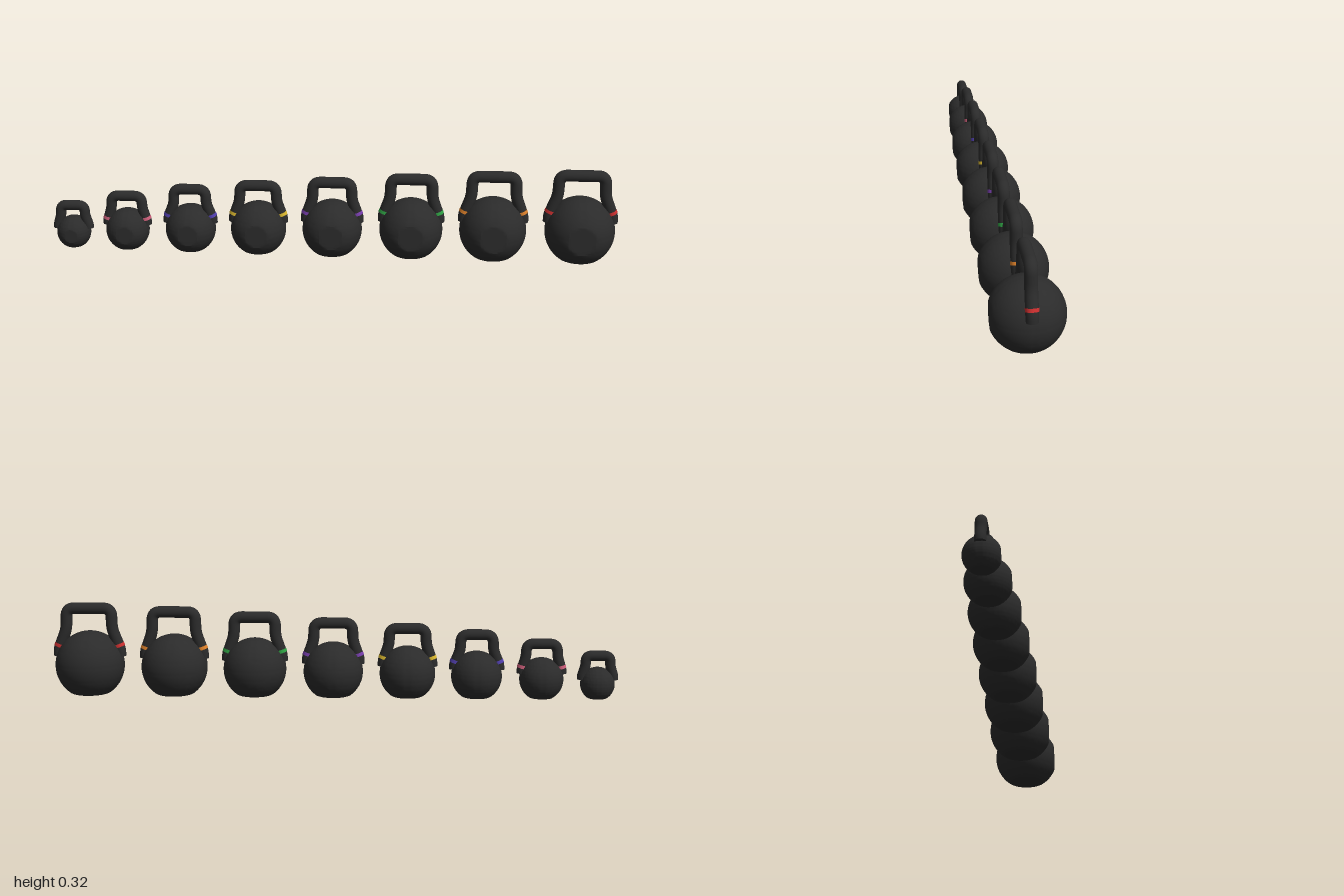
import * as THREE from 'three';
import { toCreasedNormals } from 'three/addons/utils/BufferGeometryUtils.js';

function material(name, color) {
  const m = new THREE.MeshStandardMaterial({ color });
  m.name = name;
  return m;
}

// Polyline with rounded corners
function roundedPath(points, radii) {
  const path = new THREE.CurvePath();
  let from = points[0];
  for (let i = 1; i < points.length - 1; i++) {
    const p = points[i];
    const toward = (q) => p.clone().add(q.clone().sub(p).setLength(radii[i - 1]));
    const a = toward(points[i - 1]);
    const b = toward(points[i + 1]);
    path.add(new THREE.LineCurve3(from, a));
    path.add(new THREE.QuadraticBezierCurve3(a, p, b));
    from = b;
  }
  path.add(new THREE.LineCurve3(from, points[points.length - 1]));
  return path;
}

// Ball with a flat base and a flat front face
function ballGeometry(r, cy) {
  const g = new THREE.SphereGeometry(r, 64, 44);
  g.translate(0, cy, 0.04 * r);
  const pos = g.attributes.position;
  for (let i = 0; i < pos.count; i++) {
    pos.setY(i, Math.max(pos.getY(i), 0));
    pos.setZ(i, Math.min(pos.getZ(i), 0.95 * r));
  }
  return toCreasedNormals(g, Math.PI / 10);
}

function kettlebell({ r, cy, top, grip, foot, tube }, iron, bandMaterial) {
  const group = new THREE.Group();
  const add = (name, geometry, mat) => {
    const mesh = new THREE.Mesh(geometry, mat);
    mesh.name = name;
    group.add(mesh);
    return mesh;
  };
  add('ball', ballGeometry(r, cy), iron);

  // Handle: straight grip, legs that flare out and end flush on the ball
  const z = 0.04 * r;
  const footY = cy + 0.27 * r;
  const gx = grip - tube;
  const fx = foot - tube;
  const right = [
    [gx, top - tube],
    [gx + 0.02 * r, footY + 0.78 * r],
    [fx, footY + 0.2 * r],
    [fx, footY],
  ];
  const points = [
    ...right.slice().reverse().map(([x, y]) => new THREE.Vector3(-x, y, z)),
    ...right.map(([x, y]) => new THREE.Vector3(x, y, z)),
  ];
  const corner = Math.min(0.028, gx * 0.5);
  const path = roundedPath(points, [0.12 * r, 0.18 * r, corner, corner, 0.18 * r, 0.12 * r]);
  add('handle', new THREE.TubeGeometry(path, 120, tube, 24), iron);

  // Find where the leg reaches the band height
  let u = 0;
  while (path.getPointAt(u).y < footY + 0.3 * r) u += 0.002;
  const half = 0.006 / path.getLength();

  for (const side of [-1, 1]) {
    const cap = add('handleEnd', new THREE.CircleGeometry(tube, 24), iron);
    cap.rotation.x = Math.PI / 2;
    cap.position.set(side * fx, footY, z);

    // Coloured weight band around each leg
    if (!bandMaterial) continue;
    const at = side < 0 ? u : 1 - u;
    const line = new THREE.LineCurve3(path.getPointAt(at - half), path.getPointAt(at + half));
    add('weightBand', new THREE.TubeGeometry(line, 2, tube + 0.001, 24), bandMaterial);
  }
  return group;
}

export function createModel() {
  const model = new THREE.Group();
  model.name = 'kettlebellSet';
  const iron = material('black iron', 0x2b2b2b);
  const pink = material('pink', 0xd0607c);
  const blue = material('blue violet', 0x5240b0);
  const yellow = material('yellow', 0xdcb92f);
  const purple = material('purple', 0x7a3fb0);
  const green = material('green', 0x2fa344);
  const orange = material('orange', 0xe0822a);
  const red = material('red', 0xcc2f2f);

  // x, ball radius, ball height, handle top, grip half width, foot half width, tube radius, band
  const sizes = [
    [-0.928, 0.060, 0.050, 0.168, 0.060, 0.072, 0.0180, null],
    [-0.732, 0.077, 0.065, 0.209, 0.072, 0.087, 0.0185, pink],
    [-0.505, 0.089, 0.074, 0.240, 0.075, 0.097, 0.0190, blue],
    [-0.262, 0.098, 0.081, 0.260, 0.083, 0.105, 0.0195, yellow],
    [0.000, 0.105, 0.086, 0.278, 0.087, 0.111, 0.0200, purple],
    [0.278, 0.111, 0.092, 0.297, 0.092, 0.117, 0.0205, green],
    [0.565, 0.117, 0.097, 0.313, 0.096, 0.123, 0.0205, orange],
    [0.868, 0.122, 0.101, 0.324, 0.100, 0.130, 0.0205, red],
  ];
  sizes.forEach(([x, r, cy, top, grip, foot, tube, band], i) => {
    const bell = kettlebell({ r, cy, top, grip, foot, tube }, iron, band);
    bell.name = `kettlebell${i + 1}`;
    bell.position.x = x;
    model.add(bell);
  });
  return model;
}
